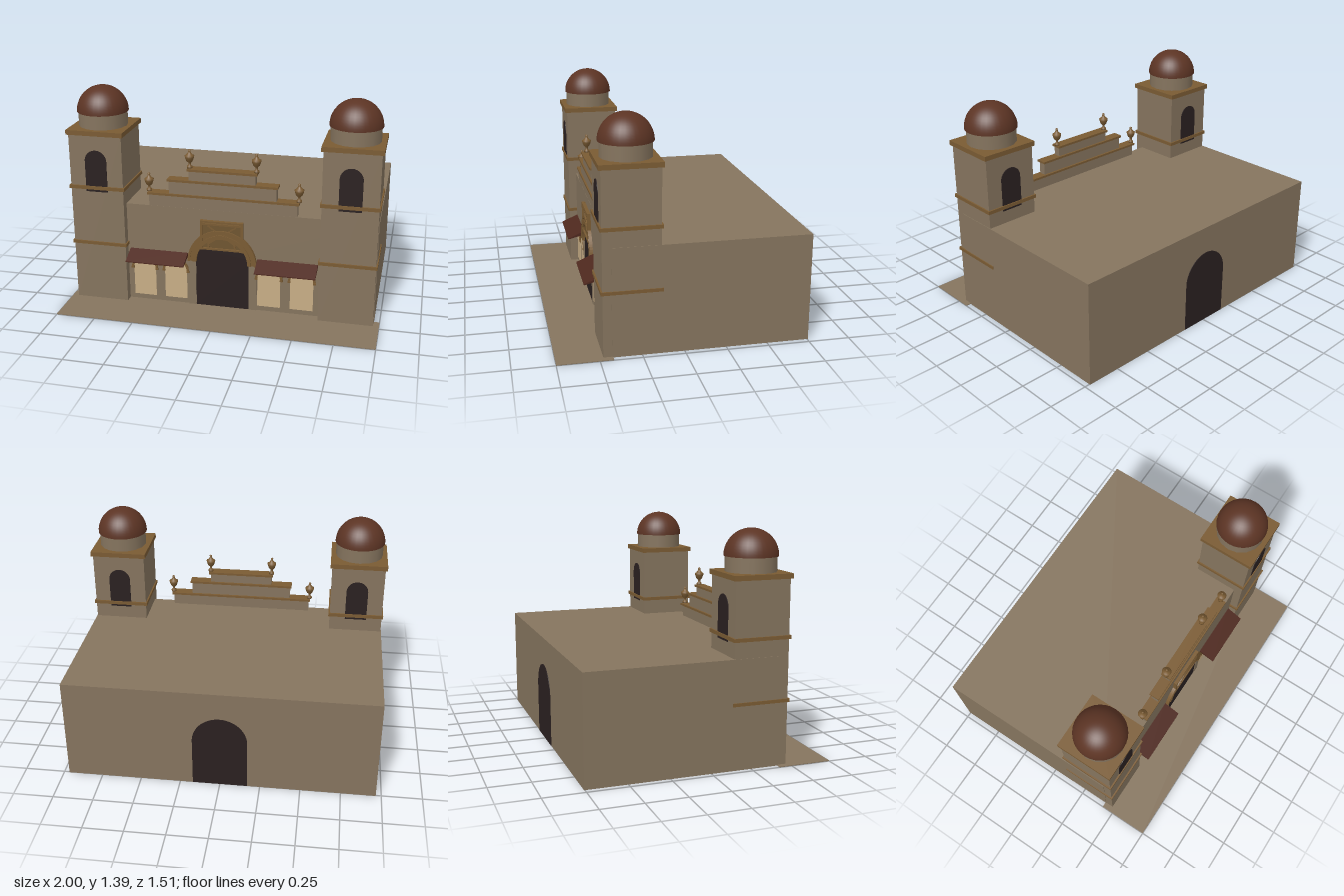
import * as THREE from 'three';

const mat = (name, color) => {
  const m = new THREE.MeshStandardMaterial({ color });
  m.name = name;
  return m;
};

export function createModel() {
  const model = new THREE.Group();
  model.name = 'missionBuilding';
  const stucco = mat('stucco', 0x85745e);
  const trim = mat('ochreTrim', 0x7a5b33);
  const panelTone = mat('carvedPanel', 0x6f5530);
  const domeRed = mat('domeTerracotta', 0x5c3424);
  const roofRed = mat('awningTile', 0x4e281e);
  const dark = mat('darkOpening', 0x2a2020);
  const pale = mat('paleWindow', 0xc8ae86);

  const add = (name, geometry, material, parent = model) => {
    const mesh = new THREE.Mesh(geometry, material);
    mesh.name = name;
    parent.add(mesh);
    return mesh;
  };
  // Box given by its limits on each axis
  const box = (name, [x0, x1], [y0, y1], [z0, z1], material, parent) => {
    const m = add(name, new THREE.BoxGeometry(x1 - x0, y1 - y0, z1 - z0), material, parent);
    m.position.set((x0 + x1) / 2, (y0 + y1) / 2, (z0 + z1) / 2);
    return m;
  };
  const extrude = (shape, depth) =>
    new THREE.ExtrudeGeometry(shape, { depth, bevelEnabled: false, curveSegments: 20 });
  // Round-headed opening as a thin plate
  const archPlate = (halfWidth, height, depth) => {
    const s = new THREE.Shape();
    s.moveTo(-halfWidth, 0);
    s.lineTo(halfWidth, 0);
    s.lineTo(halfWidth, height - halfWidth);
    s.absarc(0, height - halfWidth, halfWidth, 0, Math.PI, false);
    s.closePath();
    return extrude(s, depth);
  };
  // Half ring used as an arch moulding
  const halfRing = (inner, outer, depth) => {
    const s = new THREE.Shape();
    s.absarc(0, 0, outer, 0, Math.PI, false);
    s.absarc(0, 0, inner, Math.PI, 0, true);
    s.closePath();
    return extrude(s, depth);
  };

  // Main hall and forecourt
  box('hall', [-0.966, 0.966], [0, 0.662], [-0.755, 0.425], stucco);
  box('forecourt', [-1, 1], [0, 0.004], [0.42, 0.75], stucco);
  const backDoor = add('backDoor', archPlate(0.17, 0.485, 0.004), dark);
  backDoor.position.set(0, 0.003, -0.759);

  // Stepped parapet with copings
  [[0.47, 0.66, 0.745], [0.34, 0.745, 0.84], [0.21, 0.84, 0.915]].forEach(([w, y0, y1], i) => {
    box(`parapetTier${i + 1}`, [-w, w], [y0, y1], [0.378, 0.424], stucco);
    box(`parapetCoping${i + 1}`, [-w - 0.01, w + 0.01], [y1 - 0.008, y1 + 0.006], [0.365, 0.434], trim);
  });

  // Urn finials
  const urnProfile = [[0, 0], [0.017, 0], [0.017, 0.012], [0.008, 0.02], [0.008, 0.034], [0.02, 0.046],
    [0.028, 0.068], [0.03, 0.08], [0.022, 0.084], [0.01, 0.098], [0.007, 0.108], [0.009, 0.115], [0, 0.122]]
    .map(([x, y]) => new THREE.Vector2(x, y));
  const urnGeometry = new THREE.LatheGeometry(urnProfile, 16);
  for (const s of [-1, 1]) {
    for (const [x, y] of [[0.21, 0.92], [0.475, 0.75]]) {
      add('urn', urnGeometry, trim).position.set(s * x, y, 0.397);
    }
  }

  // Domed bell towers
  for (const s of [-1, 1]) {
    const tower = new THREE.Group();
    tower.name = s < 0 ? 'rightTower' : 'leftTower';
    tower.position.set(s * 0.792, 0, 0.307);
    model.add(tower);
    box('towerShaft', [-0.171, 0.171], [0, 1.12], [-0.17, 0.17], stucco, tower);
    for (const [y0, y1, r] of [[0.385, 0.405, 0.18], [0.76, 0.782, 0.18], [1.11, 1.14, 0.183]]) {
      box('towerBand', [-r, r], [y0, y1], [-r, r], trim, tower);
    }
    const drum = add('drum', new THREE.CylinderGeometry(0.153, 0.153, 0.1, 16), stucco, tower);
    drum.position.y = 1.185;
    const dome = add('dome',
      new THREE.SphereGeometry(0.161, 32, 14, 0, Math.PI * 2, 0, Math.PI / 2), domeRed, tower);
    dome.position.y = 1.23;
    const underside = add('domeUnderside', new THREE.CircleGeometry(0.161, 32), domeRed, tower);
    underside.rotation.x = Math.PI / 2;
    underside.position.y = 1.23;
    // Belfry openings, front and back, above the middle band
    for (const z of [0.17, -0.174]) {
      add('belfryOpening', archPlate(0.07, 0.27, 0.004), dark, tower).position.set(0, 0.745, z);
    }
  }

  // Entrance: door, jambs, arch mouldings
  const entrance = new THREE.Group();
  entrance.name = 'entrance';
  model.add(entrance);
  add('frontDoor', archPlate(0.17, 0.485, 0.004), dark, entrance).position.set(0, 0.004, 0.425);
  for (const s of [-1, 1]) {
    const x = s * 0.196;
    box('doorJamb', [x - 0.024, x + 0.024], [0, 0.31], [0.42, 0.432], stucco, entrance);
  }
  for (const [inner, outer, depth] of [[0.165, 0.188, 0.027], [0.188, 0.207, 0.02], [0.207, 0.222, 0.027]]) {
    add('doorArch', halfRing(inner, outer, depth), trim, entrance).position.set(0, 0.312, 0.42);
  }

  // Carved panel over the door
  box('panelField', [-0.135, 0.135], [0.405, 0.595], [0.42, 0.437], panelTone, entrance);
  for (const s of [-1, 1]) {
    const x = s * 0.129;
    box('panelSide', [x - 0.008, x + 0.008], [0.4, 0.598], [0.42, 0.448], trim, entrance);
    const rib = box('panelRib', [-0.11, 0.11], [-0.004, 0.004], [0.42, 0.441], trim, entrance);
    rib.position.y = 0.5;
    rib.rotation.z = s * 0.6;
  }
  for (const y of [0.408, 0.575, 0.59]) {
    box('panelRail', [-0.137, 0.137], [y - 0.006, y + 0.006], [0.42, 0.448], trim, entrance);
  }
  add('panelArch', halfRing(0.08, 0.092, 0.024), trim, entrance).position.set(0, 0.415, 0.42);

  // Arched windows with mouldings
  for (const x of [-0.512, -0.305, 0.3, 0.509]) {
    add('window', archPlate(0.073, 0.265, 0.004), pale).position.set(x, 0.037, 0.425);
    add('windowArch', halfRing(0.073, 0.087, 0.015), trim).position.set(x, 0.229, 0.42);
    for (const s of [-1, 1]) {
      const fx = x + s * 0.08;
      box('windowArchFoot', [fx - 0.009, fx + 0.009], [0.222, 0.234], [0.42, 0.438], trim);
    }
  }

  // Sloping tiled awnings
  const wedge = new THREE.Shape();
  wedge.moveTo(0.42, 0.334);
  wedge.lineTo(0.535, 0.305);
  wedge.lineTo(0.535, 0.311);
  wedge.lineTo(0.42, 0.36);
  wedge.closePath();
  for (const x of [-0.605, 0.225]) {
    // Profile is drawn in (z, y) and turned to run along x
    const awning = add('awning', extrude(wedge, 0.38), roofRed);
    awning.rotation.y = -Math.PI / 2;
    awning.position.x = x + 0.38;
  }
  return model;
}
